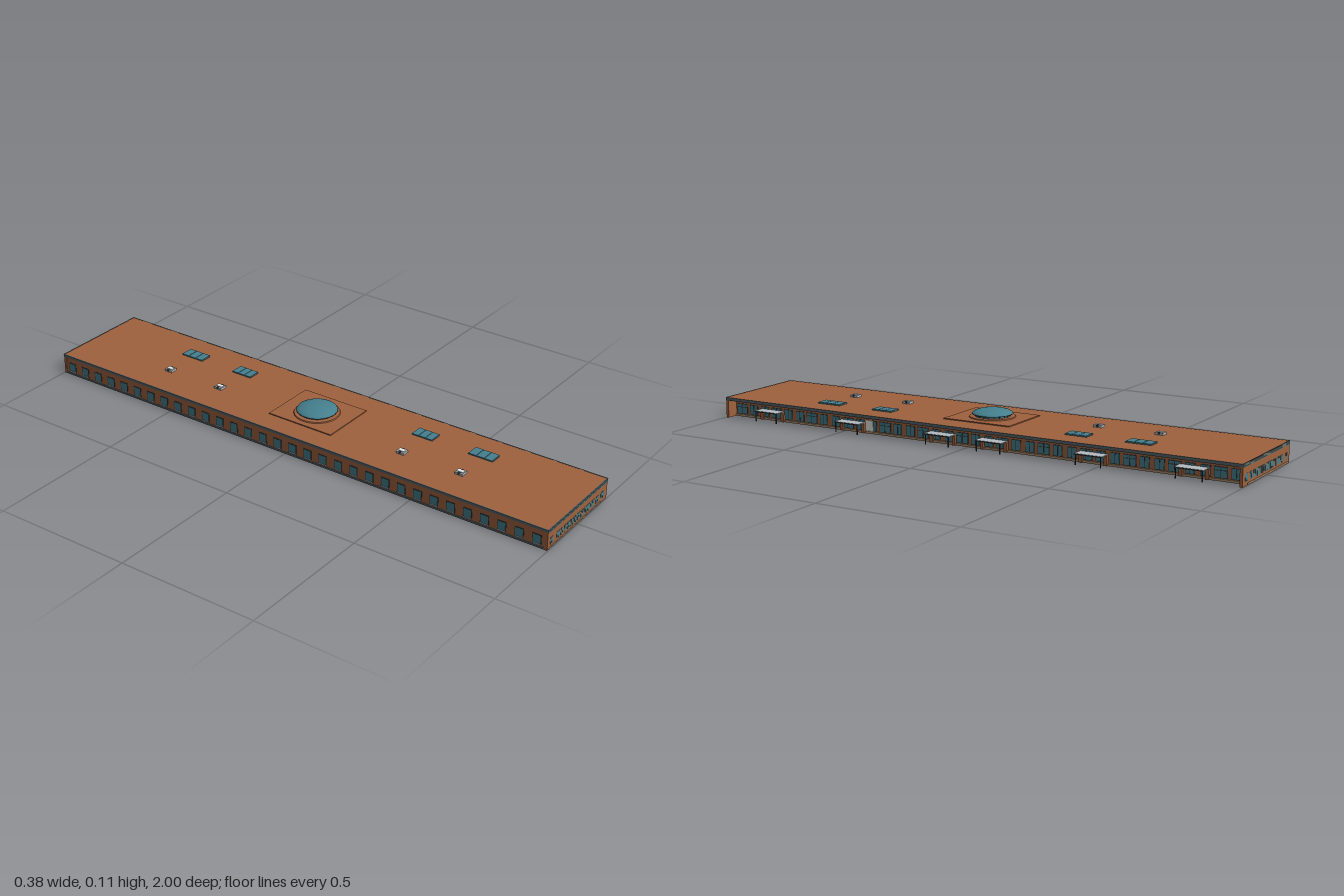
import * as THREE from 'three';

export function createModel() {
  const model = new THREE.Group();
  model.name = 'longHall';
  const mat = (name, color, opts = {}) => {
    const m = new THREE.MeshStandardMaterial({ color, ...opts });
    m.name = name;
    return m;
  };
  const brick = mat('brick', 0xa0623f);
  const glass = mat('glass', 0x45808e);
  const slate = mat('slate', 0x56646a);
  const base = mat('tanBase', 0xa88a6c);
  const pale = mat('paleMetal', 0xb4bcc2);
  const dark = mat('darkMetal', 0x33383a);
  const white = mat('whitePaint', 0xe6e6e2);

  const add = (name, geo, m, x = 0, y = 0, z = 0, parent = model) => {
    const mesh = new THREE.Mesh(geo, m);
    mesh.name = name;
    mesh.position.set(x, y, z);
    parent.add(mesh);
    return mesh;
  };
  // box given by its limits on each axis
  const box = (name, m, x0, x1, y0, y1, z0, z1, parent) => add(name,
    new THREE.BoxGeometry(x1 - x0, y1 - y0, z1 - z0), m,
    (x0 + x1) / 2, (y0 + y1) / 2, (z0 + z1) / 2, parent);

  // Main body, recessed on the porch side
  box('floorSlab', base, -0.188, 0.15, 0, 0.008, -0.992, 0.992);
  box('mainWalls', brick, -0.188, 0.145, 0.008, 0.064, -0.99, 0.99);
  box('porchSoffit', slate, 0.145, 0.188, 0.062, 0.065, -0.99, 0.99);
  box('roofSlab', brick, -0.188, 0.188, 0.065, 0.073, -0.997, 0.997);
  for (const s of [-1, 1]) {
    box('gutter', slate, s * 0.189 - 0.002, s * 0.189 + 0.002, 0.065, 0.0735, -0.999, 0.999);
  }

  // End walls with their window rows
  const endWindows = [[-0.173, -0.157], [-0.134, -0.115], [-0.108, -0.093], [-0.085, -0.074],
    [-0.067, -0.051], [-0.044, -0.029], [-0.024, -0.01], [-0.004, 0.012], [0.019, 0.033],
    [0.04, 0.045], [0.051, 0.076], [0.083, 0.106], [0.117, 0.134], [0.149, 0.17]];
  for (const s of [-1, 1]) {
    const end = new THREE.Group();
    end.name = s > 0 ? 'frontEnd' : 'backEnd';
    model.add(end);
    const plate = (name, m, x0, x1, y0, y1, d = 0.0015) =>
      box(name, m, x0, x1, y0, y1, s * 0.998 - d, s * 0.998 + d, end);
    box('endWall', brick, -0.19, 0.19, 0, 0.07, s * 0.993 - 0.005, s * 0.993 + 0.005, end);
    plate('baseStrip', base, -0.186, 0.15, 0.002, 0.007);
    plate('glassBand', glass, -0.189, 0.189, 0.0615, 0.064, 0.001);
    plate('glassBand', glass, -0.189, 0.189, 0.0665, 0.069, 0.001);
    plate('coping', slate, -0.19, 0.19, 0.0715, 0.074);
    for (const [a, b] of endWindows) {
      plate('endWindow', glass, a, b, 0.015, 0.039, 0.001);
      if (b - a > 0.012) plate('mullion', brick, (a + b) / 2 - 0.0006, (a + b) / 2 + 0.0006, 0.015, 0.039);
    }
  }

  // Left side: regular framed windows
  for (let i = 0; i < 32; i++) {
    const z = -0.96 + i * (1.92 / 31);
    box('windowFrame', dark, -0.1895, -0.187, 0.012, 0.046, z - 0.016, z + 0.016);
    box('sideWindow', glass, -0.1902, -0.187, 0.014, 0.044, z - 0.0135, z + 0.0135);
    box('windowSill', pale, -0.191, -0.187, 0.011, 0.0135, z - 0.014, z + 0.014);
  }
  box('leftBase', slate, -0.19, -0.186, 0, 0.007, -0.99, 0.99);

  // Porch facade: glazing bays between brick piers
  for (let i = 0; i < 38; i++) {
    const z = -0.96 + i * (1.92 / 37);
    const w = i % 3 === 1 ? 0.021 : 0.015;
    box('porchFrame', dark, 0.144, 0.1465, 0.009, 0.046, z - w - 0.002, z + w + 0.002);
    box('porchWindow', glass, 0.144, 0.1475, 0.011, 0.044, z - w, z + w);
    box('porchMullion', dark, 0.144, 0.1482, 0.011, 0.044, z - 0.001, z + 0.001);
    if (i % 3 === 1) box('porchTransom', dark, 0.144, 0.1482, 0.033, 0.035, z - w, z + w);
  }
  box('whiteDoor', white, 0.144, 0.1492, 0.009, 0.046, 0.387, 0.417);

  // Entrance canopies on posts
  for (const z of [-0.82, -0.47, -0.1, 0.1, 0.47, 0.82]) {
    const canopy = new THREE.Group();
    canopy.name = 'entranceCanopy';
    canopy.position.z = z;
    model.add(canopy);
    box('canopyRoof', pale, 0.146, 0.19, 0.035, 0.038, -0.05, 0.05, canopy);
    box('canopyEdge', dark, 0.1885, 0.191, 0.034, 0.037, -0.05, 0.05, canopy);
    for (const s of [-1, 1]) {
      box('canopyPost', dark, 0.187, 0.19, 0, 0.036, s * 0.045 - 0.0015, s * 0.045 + 0.0015, canopy);
      box('brickPier', brick, 0.146, 0.155, 0, 0.036, s * 0.045 - 0.006, s * 0.045 + 0.006, canopy);
    }
  }

  // Rooftop lantern with shallow dome
  const lantern = new THREE.Group();
  lantern.name = 'domeLantern';
  lantern.position.x = -0.007;
  model.add(lantern);
  box('domePlinth', brick, -0.1, 0.108, 0.072, 0.0765, -0.128, 0.128, lantern);
  add('domeStep', new THREE.CylinderGeometry(0.078, 0.08, 0.004, 40), brick, 0, 0.078, 0, lantern);
  add('domeDrum', new THREE.CylinderGeometry(0.06, 0.06, 0.009, 40), glass, 0, 0.0835, 0, lantern);
  for (let i = 0; i < 20; i++) {
    const a = i * Math.PI / 10;
    add('drumPost', new THREE.BoxGeometry(0.003, 0.009, 0.003), dark,
      0.06 * Math.cos(a), 0.0835, 0.06 * Math.sin(a), lantern).rotation.y = -a;
  }
  const profile = [[0, 0.087], [0.069, 0.087], [0.07, 0.0895], [0.067, 0.093], [0.058, 0.0975],
    [0.045, 0.1015], [0.03, 0.1042], [0.015, 0.1056], [0, 0.106]].map(p => new THREE.Vector2(...p));
  add('dome', new THREE.LatheGeometry(profile, 40), glass, 0, 0, 0, lantern);
  const rim = add('domeRim', new THREE.TorusGeometry(0.0695, 0.0012, 6, 40), dark, 0, 0.088, 0, lantern);
  rim.rotation.x = Math.PI / 2;

  // Skylights and roof vents, mirrored about the dome
  for (const s of [-1, 1]) {
    for (const [z, h] of [[0.38, 0.04], [0.605, 0.046]]) {
      const c = s * z;
      box('skylightCurb', slate, 0.06, 0.105, 0.072, 0.0755, c - h, c + h);
      for (const k of [-1, 0, 1]) {
        const m = c + k * h * 0.66;
        box('skylightPane', glass, 0.059, 0.106, 0.074, 0.078, m - h * 0.31, m + h * 0.31);
      }
      box('ventBox', pale, -0.073, -0.046, 0.072, 0.081, c - 0.015, c + 0.015);
      box('ventSlot', dark, -0.0735, -0.0455, 0.075, 0.0815, c - 0.004, c + 0.004);
      box('ventCap', white, -0.066, -0.053, 0.08, 0.083, c - 0.012, c + 0.012);
    }
  }
  return model;
}
